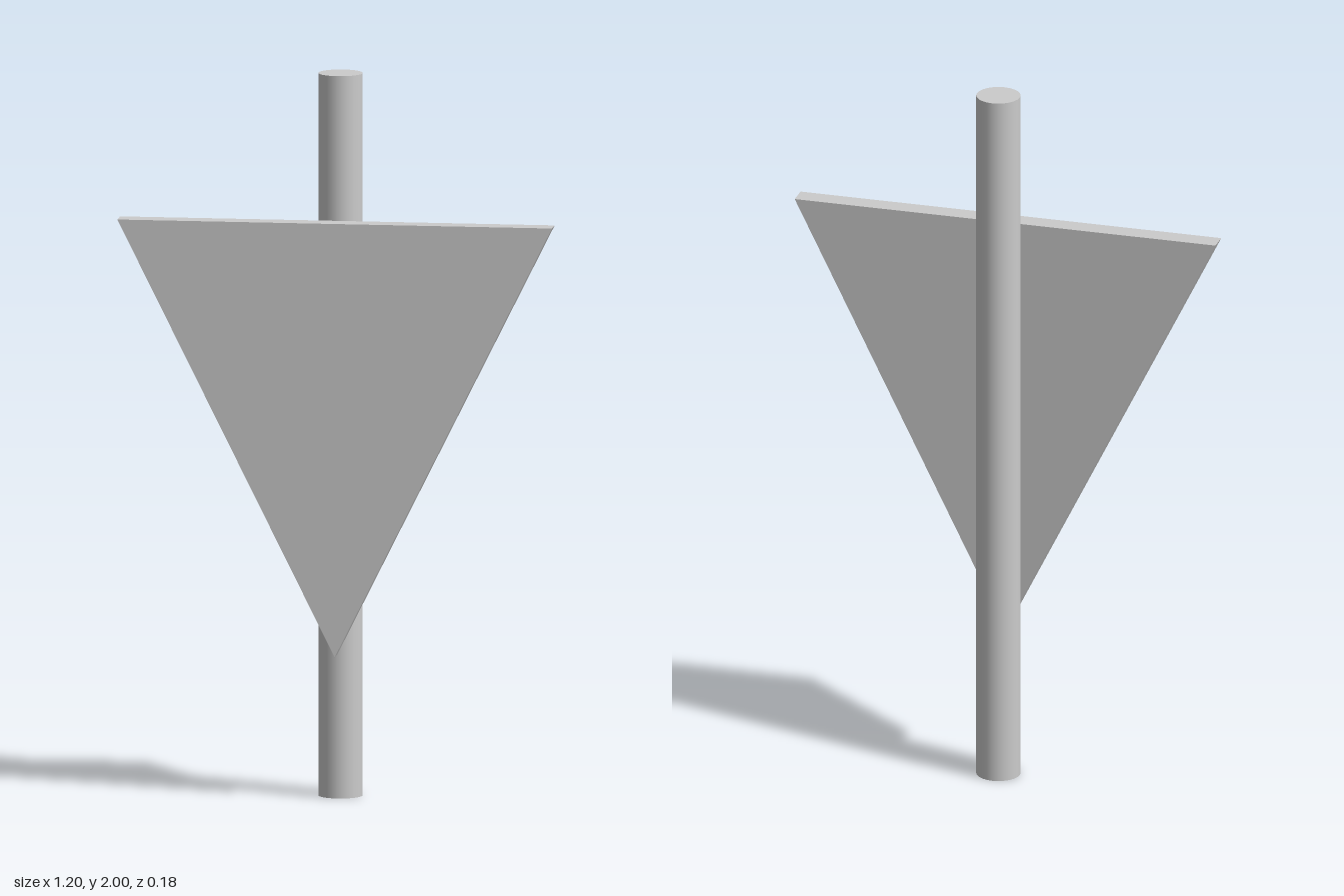
import * as THREE from 'three';

export function createModel() {
  const model = new THREE.Group();
  const material = new THREE.MeshStandardMaterial({ color: 0xcccccc });

  // Round upright post
  const post = new THREE.Mesh(new THREE.CylinderGeometry(0.061, 0.061, 2, 24), material);
  post.name = 'post';
  post.position.set(0, 1, -0.03);
  model.add(post);

  // Triangular plate, point down, in front of the post
  const triangle = new THREE.Shape([
    new THREE.Vector2(0, 0.4),
    new THREE.Vector2(0.6, 1.6),
    new THREE.Vector2(-0.6, 1.6),
  ]);
  const plate = new THREE.Mesh(
    new THREE.ExtrudeGeometry(triangle, { depth: 0.057, bevelEnabled: false }),
    material
  );
  plate.name = 'signPlate';
  plate.position.z = 0.034;
  model.add(plate);

  return model;
}
